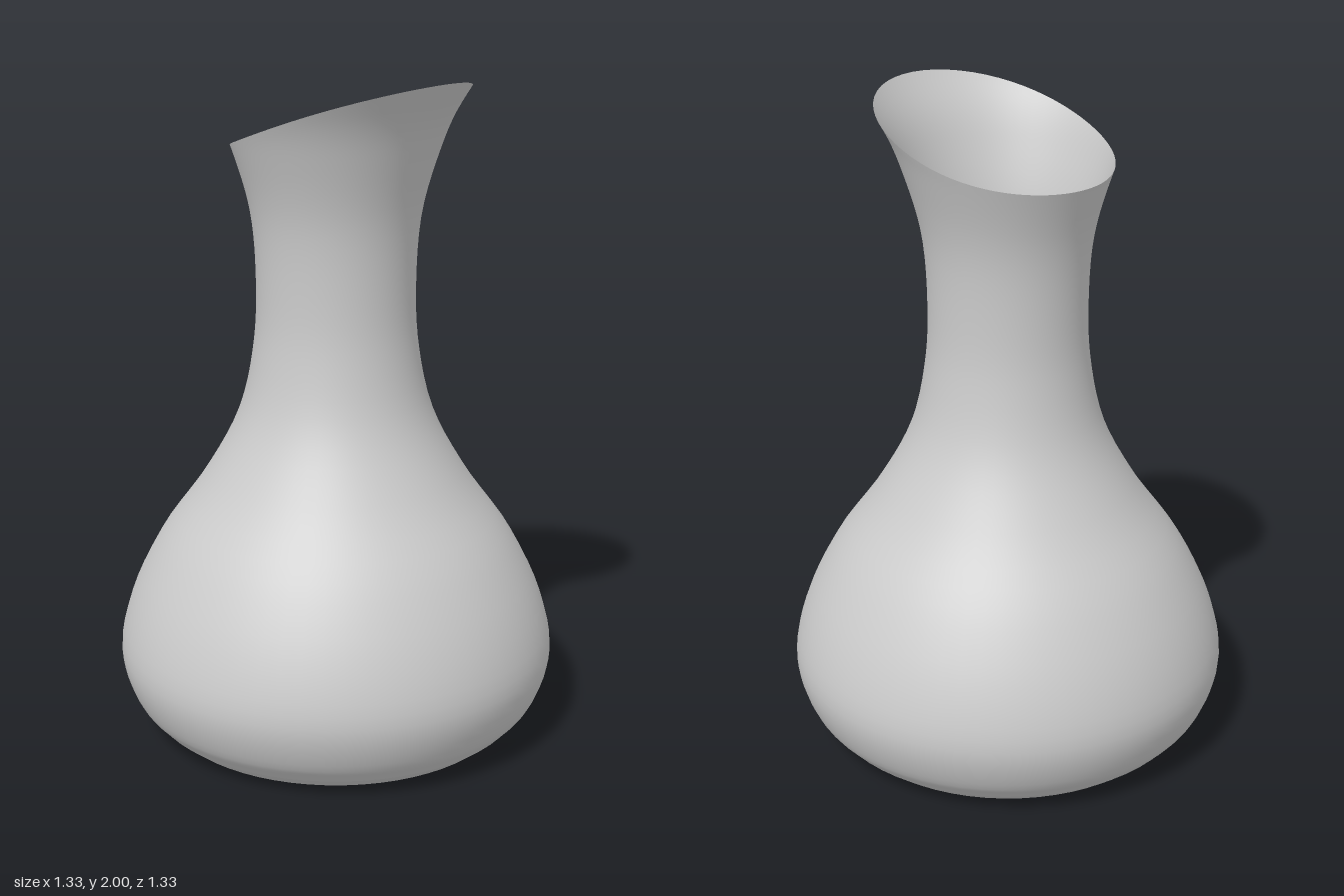
import * as THREE from 'three';
import { mergeVertices, toCreasedNormals } from 'three/addons/utils/BufferGeometryUtils.js';

const SEGMENTS = 64;

// Wall profile as (radius, height), from the foot to the highest point of the lip
const wallProfile = new THREE.CatmullRomCurve3([
  [0.575, 0.05], [0.625, 0.11], [0.665, 0.24], [0.635, 0.4], [0.54, 0.6],
  [0.398, 0.8], [0.292, 1.0], [0.247, 1.2], [0.237, 1.38], [0.252, 1.6],
  [0.305, 1.79], [0.345, 1.89], [0.41, 2.0],
].map(([r, y]) => new THREE.Vector3(r, y, 0)), false, 'centripetal').getPoints(156);

function radiusAt(y) {
  const i = Math.max(1, wallProfile.findIndex((p) => p.y >= y - 1e-6));
  const a = wallProfile[i - 1], b = wallProfile[i];
  return THREE.MathUtils.mapLinear(y, a.y, b.y, a.x, b.x);
}

// Height of the slanted lip: c is 1 at the front spout, -1 at the back
const lipHeight = (c) => 1.86 + 0.11 * c + 0.03 * c * c;

function wallGeometry() {
  const points = wallProfile.filter((_, i) => i % 3 === 0).map((p) => new THREE.Vector2(p.x, p.y));
  let geo = new THREE.LatheGeometry(points, SEGMENTS);
  const pos = geo.attributes.position;
  const bend = 1.2;
  // Squeeze the neck rows under the slanted lip while staying on the profile
  for (let i = 0; i < pos.count; i++) {
    const x = pos.getX(i), y = pos.getY(i), z = pos.getZ(i);
    if (y <= bend) continue;
    const r = Math.hypot(x, z);
    const newY = bend + (y - bend) * (lipHeight(z / r) - bend) / (2 - bend);
    const k = radiusAt(newY) / r;
    pos.setXYZ(i, x * k, newY, z * k);
  }
  geo.deleteAttribute('uv');
  geo.deleteAttribute('normal');
  geo = mergeVertices(geo, 1e-5);
  geo.computeVertexNormals();
  return geo;
}

export function createModel() {
  const group = new THREE.Group();
  group.name = 'carafe';
  const material = new THREE.MeshStandardMaterial({ color: 0xcccccc, side: THREE.DoubleSide });

  // Open body, neck and slanted lip
  const wall = new THREE.Mesh(wallGeometry(), material);
  wall.name = 'bodyAndNeck';

  // Flat base with a bevelled foot
  const footProfile = [[0, 0], [0.465, 0], [0.53, 0.014], [0.575, 0.05]].map(([r, y]) => new THREE.Vector2(r, y));
  const base = new THREE.Mesh(toCreasedNormals(new THREE.LatheGeometry(footProfile, SEGMENTS), 0.2), material);
  base.name = 'base';

  group.add(wall, base);
  return group;
}
